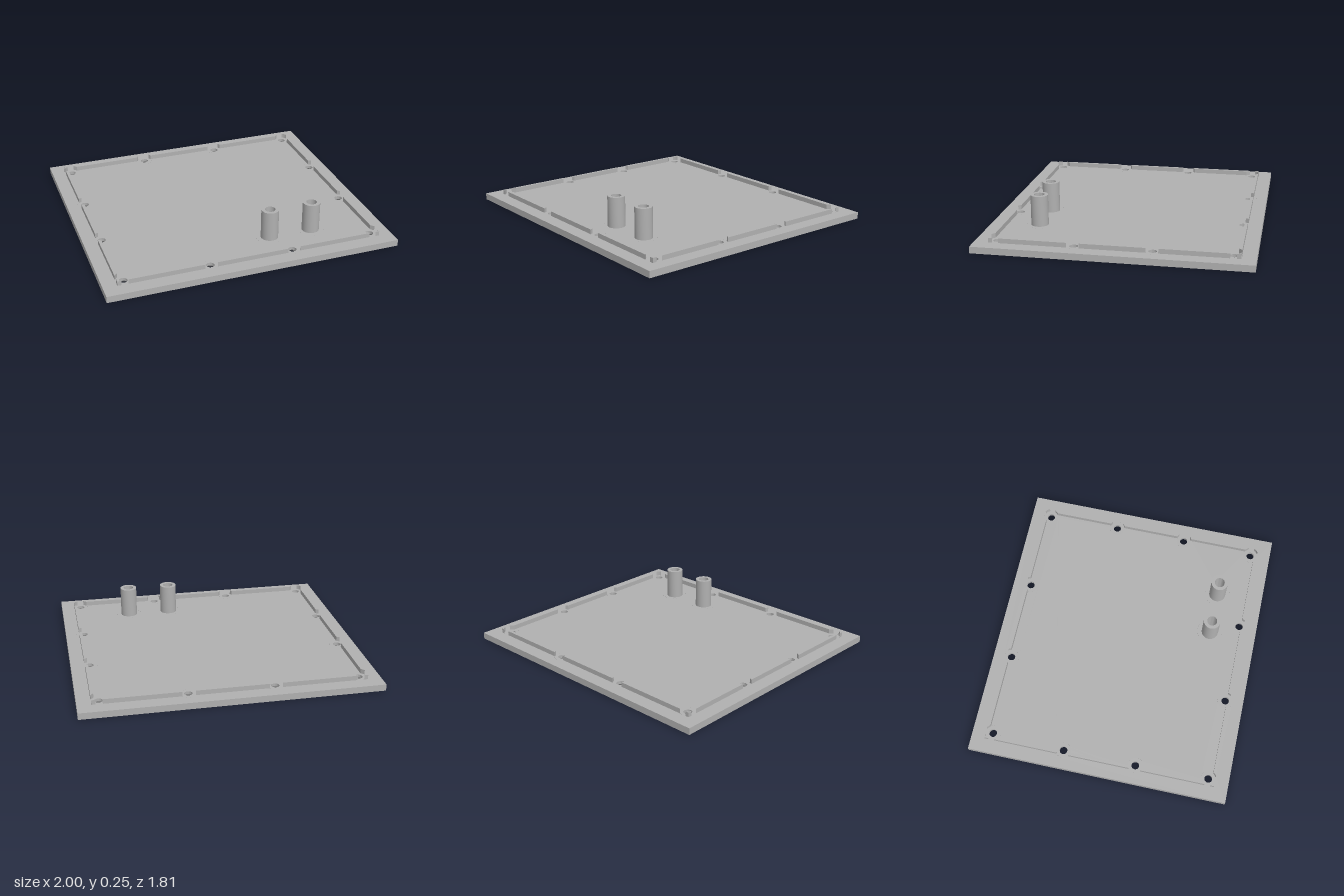
import * as THREE from 'three';
import { toCreasedNormals } from 'three/addons/utils/BufferGeometryUtils.js';

const HALF_X = 1, HALF_Z = 0.905, PLATE = 0.045, RIM_TOP = 0.077, POST_TOP = 0.255;
const SEG = 32;
const RIM_X = 0.907, RIM_Z = 0.81, RIM_W = 0.021; // outer rim lines and wall thickness
const CLEAR = 0.053;                              // rim clearance around each screw hole
const CORNER = [0.858, 0.762];
const SCREW_R = 0.027, SINK_R = 0.053, SEAT_R = 0.09, BORE_R = 0.035, POST_R = 0.059;

const grey = new THREE.MeshStandardMaterial({ color: 0xb0b0b0 });
grey.name = 'grey';

// Extrudes a plan shape (x, -z) upwards from y0 to y1
function slab(shape, y0, y1) {
  const geo = new THREE.ExtrudeGeometry(shape, { depth: y1 - y0, bevelEnabled: false, curveSegments: SEG });
  geo.rotateX(-Math.PI / 2).translate(0, y0, 0);
  return toCreasedNormals(geo, 0.6);
}

function turned(points) {
  const geo = new THREE.LatheGeometry(points.map(([r, y]) => new THREE.Vector2(r, y)), SEG);
  return toCreasedNormals(geo, 0.6);
}

export function createModel() {
  const model = new THREE.Group();
  model.name = 'coverPlate';
  const add = (name, geo, x = 0, z = 0) => {
    const mesh = new THREE.Mesh(geo, grey);
    mesh.name = name;
    mesh.position.set(x, 0, z);
    model.add(mesh);
  };

  // Hole positions
  const screws = [];
  for (const sx of [-1, 1]) for (const sz of [-1, 1]) {
    screws.push([sx * CORNER[0], sz * CORNER[1]], [sx * 0.286, sz * 0.778], [sx * 0.873, sz * 0.254]);
  }
  const posts = [[0.205, 0.577], [0.505, 0.577]];

  // Base plate, pierced for every screw seat and post
  const plan = new THREE.Shape([
    new THREE.Vector2(-HALF_X, -HALF_Z), new THREE.Vector2(HALF_X, -HALF_Z),
    new THREE.Vector2(HALF_X, HALF_Z), new THREE.Vector2(-HALF_X, HALF_Z),
  ]);
  const pierce = (r) => ([x, z]) => {
    plan.holes.push(new THREE.Path().absarc(x, -z, r, 0, Math.PI * 2, true));
  };
  screws.forEach(pierce(SINK_R));
  posts.forEach(pierce(SEAT_R));
  add('basePlate', slab(plan, 0, PLATE));

  // Countersunk screw seats filling the plate openings
  const seat = turned([[SINK_R, 0], [SINK_R, PLATE], [SCREW_R, PLATE], [SCREW_R, 0.024], [SINK_R, 0]]);
  screws.forEach(([x, z]) => add('screwSeat', seat, x, z));

  // Hollow posts with a shallow recess underneath
  const post = turned([
    [BORE_R, 0.01], [SEAT_R, 0.01], [SEAT_R, PLATE], [POST_R, PLATE],
    [POST_R, POST_TOP], [BORE_R, POST_TOP], [BORE_R, 0.01],
  ]);
  posts.forEach(([x, z]) => add('hollowPost', post, x, z));

  // Rim walls: three per edge, ends cut back around the screw holes
  const gap = (v, holeV) => Math.sqrt(CLEAR ** 2 - (v - holeV) ** 2);
  const edges = [
    { outer: RIM_Z, holes: [CORNER, [0.286, 0.778]], at: (u, v) => new THREE.Vector2(u, v) },
    { outer: RIM_X, holes: [[CORNER[1], CORNER[0]], [0.254, 0.873]], at: (u, v) => new THREE.Vector2(v, u) },
  ];
  for (const { outer, holes: [[cu, cv], [mu, mv]], at } of edges) {
    const inner = outer - RIM_W;
    const runs = [[-cu, cv, -mu, mv], [-mu, mv, mu, mv], [mu, mv, cu, cv]];
    for (const side of [-1, 1]) for (const [u0, v0, u1, v1] of runs) {
      const wall = new THREE.Shape([
        at(u0 + gap(outer, v0), side * outer), at(u1 - gap(outer, v1), side * outer),
        at(u1 - gap(inner, v1), side * inner), at(u0 + gap(inner, v0), side * inner),
      ]);
      add('rimWall', slab(wall, PLATE, RIM_TOP));
    }
  }

  // Small corner remnants of the rim, hollowed by the corner clearance
  const a0 = Math.acos((RIM_X - CORNER[0]) / CLEAR);
  const a1 = Math.asin((RIM_Z - CORNER[1]) / CLEAR);
  for (const sx of [-1, 1]) for (const sz of [-1, 1]) {
    const pts = [new THREE.Vector2(sx * RIM_X, sz * RIM_Z)];
    for (let i = 0; i <= 6; i++) {
      const a = a1 + (a0 - a1) * (i / 6);
      // sweep between the two points where the clearance meets the rim lines
      const t = Math.PI / 2 - Math.acos((RIM_Z - CORNER[1]) / CLEAR);
      const ang = t + (a0 - t) * (i / 6);
      pts.push(new THREE.Vector2(
        sx * (CORNER[0] + CLEAR * Math.cos(Number.isFinite(ang) ? ang : a)),
        sz * (CORNER[1] + CLEAR * Math.sin(Number.isFinite(ang) ? ang : a))));
    }
    add('rimCorner', slab(new THREE.Shape(pts), PLATE, RIM_TOP));
  }
  return model;
}
